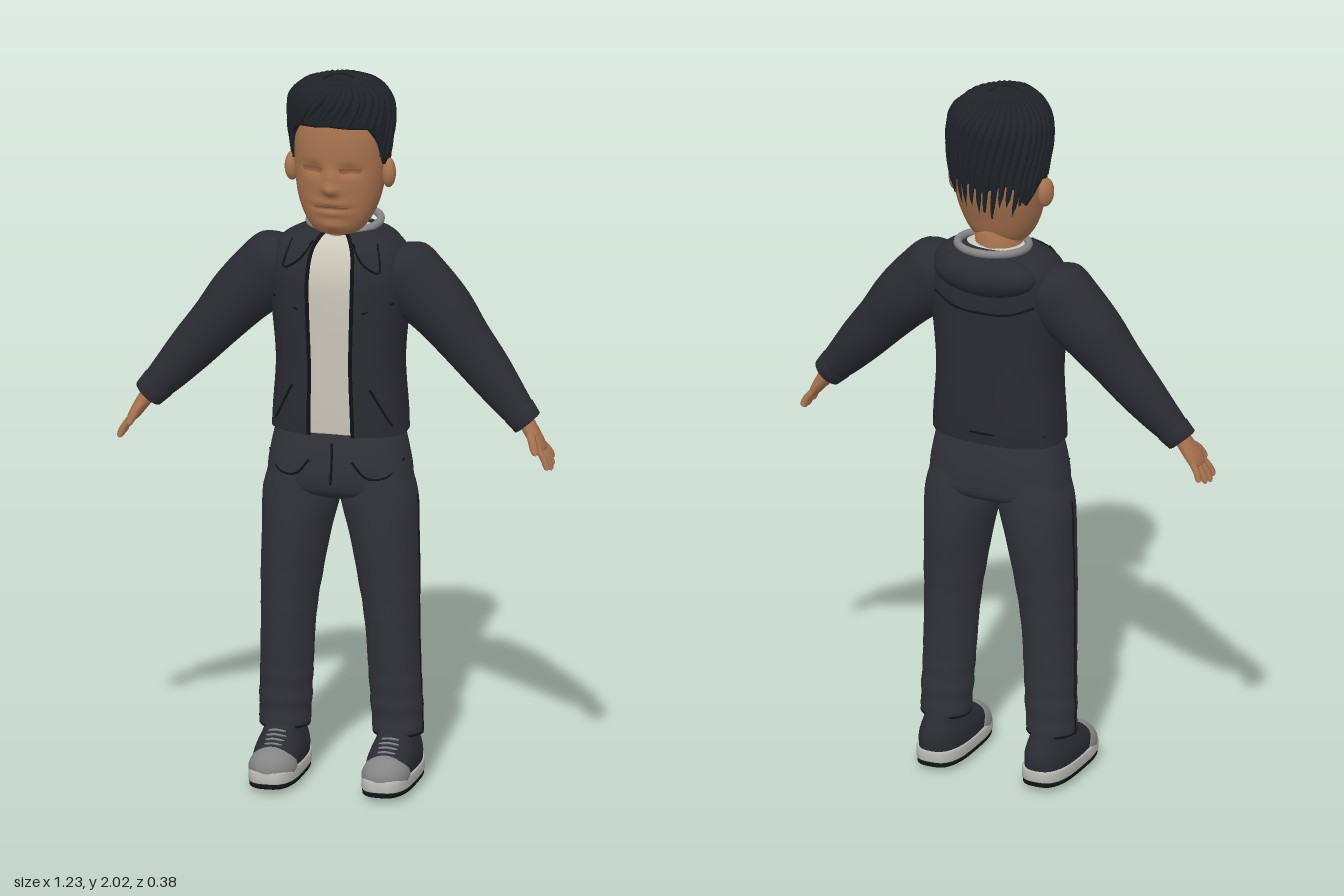
import * as THREE from 'three';

const mat = (name, color) => {
  const m = new THREE.MeshStandardMaterial({ color, side: THREE.DoubleSide });
  m.name = name;
  return m;
};
const X = new THREE.Vector3(1, 0, 0), Z = new THREE.Vector3(0, 0, 1);

// ring = [x, y, z, halfWidth, halfDepth]; upright rings come from width, front and back
const upright = (rows) => rows.map(([y, w, f, b]) => [0, y, (f + b) / 2, w, (f - b) / 2]);

// smooth the rings with a Catmull-Rom spline
function resample(rings, k = 5) {
  const out = [], n = rings.length;
  for (let i = 0; i < n - 1; i++) for (let s = 0; s < k; s++) {
    const t = s / k;
    out.push(rings[i].map((b, c) => {
      const a = rings[Math.max(i - 1, 0)][c], d = rings[i + 1][c], e = rings[Math.min(i + 2, n - 1)][c];
      return b + 0.5 * t * (d - a + t * (2 * a - 5 * b + 4 * d - e + t * (3 * (b - d) + e - a)));
    }));
  }
  out.push(rings[n - 1]);
  return out;
}

const spow = (v, p) => Math.sign(v) * Math.abs(v) ** (2 / p);
const ringPoint = (r, t, p = 2, U = X, V = Z) => new THREE.Vector3(r[0], r[1], r[2])
  .addScaledVector(U, Math.max(r[3], 0.001) * spow(Math.sin(t), p))
  .addScaledVector(V, Math.max(r[4], 0.001) * spow(Math.cos(t), p));

function ringAt(rings, y) {
  let i = 0;
  const up = rings[1][1] > rings[0][1];
  while (i < rings.length - 2 && (up ? rings[i + 1][1] < y : rings[i + 1][1] > y)) i++;
  const a = rings[i], b = rings[i + 1], t = THREE.MathUtils.clamp((y - a[1]) / (b[1] - a[1]), 0, 1);
  return a.map((v, c) => v + (b[c] - v) * t);
}

function geometry(points, index) {
  const g = new THREE.BufferGeometry().setFromPoints(points);
  g.setIndex(index);
  g.computeVertexNormals();
  return g;
}

// skin over rings; a gap leaves the front open by that angle on each side
function loft(rings, { U = X, V = Z, p = 2, n = 32, gap = 0, tweak } = {}) {
  const pts = [], idx = [], open = gap > 0, m = open ? n + 1 : n;
  const at = (r) => new THREE.Vector3(r[0], r[1], r[2]);
  const last = rings.length - 1;
  const flip = at(rings[last]).sub(at(rings[0])).dot(V.clone().cross(U)) < 0;
  const tri = (a, b, c) => flip ? idx.push(a, c, b) : idx.push(a, b, c);
  for (const r of rings) for (let j = 0; j < m; j++) {
    const pt = ringPoint(r, gap + (2 * Math.PI - 2 * gap) * j / n, p, U, V);
    if (tweak) tweak(pt);
    pts.push(pt);
  }
  for (let i = 0; i < last; i++) for (let j = 0; j < n; j++) {
    const a = i * m + j, b = i * m + (j + 1) % m;
    tri(a, b, a + m);
    tri(b, b + m, a + m);
  }
  if (!open) {
    const c = pts.push(at(rings[0]), at(rings[last])) - 2;
    for (let j = 0; j < n; j++) {
      const k = (j + 1) % n;
      tri(c, k, j);
      tri(c + 1, last * m + j, last * m + k);
    }
  }
  return geometry(pts, idx);
}

// tube whose radius follows a rule along its length
function tube(points, radius, taper = () => 1, seg = 16, sides = 7) {
  const curve = new THREE.CatmullRomCurve3(points);
  const g = new THREE.TubeGeometry(curve, seg, radius, sides), pos = g.attributes.position, v = new THREE.Vector3();
  for (let i = 0; i < pos.count; i++) {
    const u = Math.floor(i / (sides + 1)) / seg, c = curve.getPointAt(u);
    v.fromBufferAttribute(pos, i).sub(c).multiplyScalar(taper(u)).add(c);
    pos.setXYZ(i, v.x, v.y, v.z);
  }
  return g;
}
const tip = (u) => u < 0.75 ? 1 : Math.sqrt(Math.max(0, 1 - ((u - 0.75) / 0.25) ** 2));

// thin curved plate between four [x, y] corners laid on a surface
function plate([a, b, c, d], zAt, n = 10) {
  const pts = [], idx = [], mix = THREE.MathUtils.lerp;
  for (let i = 0; i <= n; i++) for (let j = 0; j <= n; j++) {
    const u = j / n, v = i / n, x = mix(mix(a[0], b[0], u), mix(d[0], c[0], u), v);
    const y = mix(mix(a[1], b[1], u), mix(d[1], c[1], u), v), k = i * (n + 1) + j;
    pts.push(new THREE.Vector3(x, y, zAt(x, y)));
    if (i < n && j < n) idx.push(k, k + n + 1, k + 1, k + 1, k + n + 1, k + n + 2);
  }
  return geometry(pts, idx);
}

export function createModel() {
  const model = new THREE.Group();
  const skin = mat('skin', 0xa8734f), shade = mat('shaded skin', 0x8d5d40), hairMat = mat('hair', 0x1f2429);
  const cloth = mat('jacket cloth', 0x2b2c33), denim = mat('trouser cloth', 0x32333a), seamMat = mat('seam', 0x121316);
  const white = mat('shirt', 0xcbc7ba), grey = mat('grey trim', 0x858585), rubber = mat('sole rubber', 0xb9b9b5);
  const add = (name, geo, m) => {
    const mesh = new THREE.Mesh(geo, m);
    mesh.name = name;
    model.add(mesh);
    return mesh;
  };
  const ball = (name, m, pos, scale) => {
    const b = add(name, new THREE.SphereGeometry(1, 28, 18), m);
    b.position.set(...pos);
    b.scale.set(...scale);
    return b;
  };
  const zOn = (rings, p, dir, off) => (x, y) => {
    const r = ringAt(rings, y), q = Math.min(Math.abs((x - r[0]) / r[3]), 0.999);
    return r[2] + dir * (r[4] * (1 - q ** p) ** (1 / p) + off);
  };
  const seam = (name, pts, zAt) => add(name, tube(pts.map(([x, y]) => new THREE.Vector3(x, y, zAt(x, y))), 0.0035, undefined, 20, 5), seamMat);

  // jacket, open at the front over a shirt
  const jacketRows = [[1.0, .19, .098, -.135], [1.06, .187, .102, -.142], [1.2, .178, .108, -.145], [1.35, .19, .113, -.148],
    [1.45, .195, .11, -.15], [1.52, .178, .085, -.145], [1.555, .13, .055, -.12], [1.572, .085, .035, -.1]];
  const jacket = resample(upright(jacketRows)), gap = 0.25;
  add('jacket', loft(jacket, { p: 2.5, n: 56, gap }), cloth);
  const inner = upright(jacketRows.map(([y, w, f, b]) => [y, w - .014, f - .009, b + .012]));
  add('shirt', loft(resample(inner), { p: 2.5, n: 48 }), white);
  const chest = zOn(jacket, 2.5, 1, 0.001), back = zOn(jacket, 2.5, -1, 0.001), flap = zOn(jacket, 2.5, 1, 0.008);
  seam('backYokeSeam', [[-.15, 1.43], [-.08, 1.405], [0, 1.4], [.08, 1.405], [.15, 1.43]], back);
  seam('backHemSeam', [[-.17, 1.035], [0, 1.035], [.17, 1.035]], back);

  // hood and neck ring
  ball('hood', cloth, [0, 1.505, -.113], [.15, .063, .073]);
  const ring = add('neckRing', new THREE.TorusGeometry(.098, .011, 12, 48), grey);
  ring.position.set(0, 1.577, -.065);
  ring.rotation.x = Math.PI / 2 + 0.08;
  add('neck', loft(upright([[1.48, .075, .04, -.1], [1.56, .066, .042, -.09], [1.64, .07, .04, -.095]])), skin);

  // head with a modelled face
  const head = resample(upright([[1.565, .035, .045, -.03], [1.575, .065, .068, -.06], [1.61, .092, .083, -.088], [1.66, .112, .09, -.108],
    [1.72, .123, .095, -.13], [1.78, .127, .098, -.143], [1.85, .126, .097, -.143], [1.92, .11, .08, -.12], [1.96, .06, .045, -.08]]), 8);
  const hump = (v, c, s) => Math.exp(-(((v - c) / s) ** 2));
  const bump = (x, y) => .024 * hump(x, 0, .02) * hump(y, 1.706, .017) + .013 * hump(x, 0, .016) * hump(y, 1.74, .028)
    - .011 * hump(Math.abs(x), .05, .032) * hump(y, 1.762, .017) - .005 * hump(y, 1.652, .006) * hump(x, 0, .05)
    + .007 * hump(x, 0, .045) * (hump(y, 1.666, .011) + hump(y, 1.638, .011)) + .007 * hump(x, 0, .035) * hump(y, 1.6, .015);
  add('head', loft(head, { p: 2.3, n: 80, tweak: (v) => { if (v.z > .02) v.z += bump(v.x, v.y); } }), skin);
  const face = zOn(head, 2.3, 1, 0.002), onFace = (x, y) => face(x, y) + bump(x, y);
  add('mouth', plate([[-.05, 1.656], [.05, 1.656], [.045, 1.648], [-.045, 1.648]], onFace, 16), shade);

  // hair shell with a shaped hairline, given as [degrees from the front, height]
  const hairRings = resample(upright([[1.66, .108, .05, -.105], [1.74, .133, .08, -.135], [1.82, .14, .099, -.152], [1.88, .145, .109, -.155],
    [1.94, .137, .112, -.148], [1.975, .107, .104, -.12], [1.99, .065, .082, -.075], [1.996, .004, .012, .004]]));
  const line = [[0, 1.89], [45, 1.88], [58, 1.84], [70, 1.765], [82, 1.765], [92, 1.79], [105, 1.765], [122, 1.71], [150, 1.675], [181, 1.668]];
  const hairline = (t) => {
    const d = Math.abs(THREE.MathUtils.radToDeg(Math.atan2(Math.sin(t), Math.cos(t))));
    const i = line.findIndex((l) => l[0] > d), [a, b] = [line[i - 1], line[i]];
    return a[1] + (b[1] - a[1]) * (d - a[0]) / (b[0] - a[0]);
  };
  const onHair = (t, y, s) => {
    const r = ringAt(hairRings, y);
    return ringPoint([r[0], r[1], r[2], r[3] * s, r[4] * s], t);
  };
  const cols = 96, rows = 22, hp = [], hi = [];
  for (let i = 0; i <= rows; i++) for (let j = 0; j < cols; j++) {
    const t = j / cols * 2 * Math.PI, yb = hairline(t), v = Math.max(0, i - 1) / (rows - 1);
    hp.push(onHair(t, yb + (1.996 - yb) * Math.sin(v * Math.PI / 2), i ? 1 : .86));
    const a = i * cols + j, b = i * cols + (j + 1) % cols;
    if (i < rows) hi.push(a, b, a + cols, b, b + cols, a + cols);
  }
  add('hair', geometry(hp, hi), hairMat);
  // combed locks over the shell
  for (let k = 0; k < 38; k++) {
    const t = k / 38 * 2 * Math.PI, yb = hairline(t) + .012 + .012 * Math.sin(k * 2.4), pts = [];
    for (let s = 0; s <= 8; s++) {
      const y = yb + (1.993 - yb) * Math.cos(s / 8 * Math.PI / 2);
      pts.push(onHair(t + .6 * (1 - s / 8), y, .975 + .012 * Math.sin(k * 1.7)));
    }
    add('hairLock', tube(pts, .0125, (u) => .35 + .65 * Math.sin(Math.PI * Math.min(1, .15 + u * .8)), 20), hairMat);
  }

  // hips
  const hips = resample(upright([[1.03, .172, .085, -.12], [.95, .191, .097, -.13], [.88, .202, .098, -.132], [.83, .195, .085, -.122], [.805, .1, .04, -.07]]));
  add('hips', loft(hips, { p: 2.4, n: 48 }), denim);
  const hipFront = zOn(hips, 2.4, 1, 0.001);
  seam('flySeam', [[.004, .98], [.004, .92], [0, .86]], hipFront);

  for (const s of [1, -1]) {
    const v3 = (x, y, z) => new THREE.Vector3(x * s, y, z);
    const flipX = (pts) => pts.map(([x, y]) => [x * s, y]);
    const mirror = (rs) => rs.map(([x, ...r]) => [x * s, ...r]);

    // jacket trim
    add('jacketZip', tube(jacket.map((r) => ringPoint(r, s * gap, 2.5)), .0055, undefined, 50, 6), seamMat);
    add('collarFlap', plate(flipX([[.055, 1.552], [.118, 1.55], [.135, 1.475], [.09, 1.5]]), flap), cloth);
    seam('collarSeam', flipX([[.057, 1.548], [.09, 1.5], [.135, 1.475], [.12, 1.545]]), flap);
    seam('chestPocketSeam', flipX([[.09, 1.36], [.17, 1.385]]), chest);
    seam('sidePocketSeam', flipX([[.11, 1.14], [.15, 1.06], [.165, 1.03]]), chest);
    seam('trouserPocketSeam', flipX([[.06, .93], [.1, .885], [.15, .885], [.19, .93]]), hipFront);

    // arm
    const U = v3(.75, .66, 0);
    add('sleeve', loft(resample(mirror([[.13, 1.5, -.03, .04, .05], [.165, 1.472, -.03, .088, .088], [.215, 1.415, -.03, .098, .09],
      [.29, 1.342, -.028, .088, .084], [.355, 1.265, -.02, .075, .071], [.42, 1.19, -.012, .066, .061],
      [.48, 1.12, 0, .054, .049], [.53, 1.065, .011, .042, .038]])), { U }), cloth);
    add('cuff', loft(mirror([[.508, 1.089, .006, .04, .036], [.51, 1.087, .006, .049, .045], [.537, 1.057, .012, .044, .04], [.539, 1.055, .012, .036, .032]]), { U }), cloth);

    // hand
    const along = (d, z, off = 0) => v3(.535 + .54 * d + .84 * off, 1.06 - .84 * d + .54 * off, z);
    const palm = [[-.01, .014, .026, .022], [.03, .02, .033, .02], [.07, .023, .037, .016], [.09, .024, .033, .011]];
    add('palm', loft(resample(palm.map(([d, z, a, b]) => [...along(d, z).toArray(), a, b])), { U: Z, V: v3(.84, .54, 0), n: 20 }), skin);
    for (let f = 0; f < 4; f++) {
      const z = -.004 + f * .0185, len = [.045, .06, .066, .058][f];
      add('finger', tube([along(.075, z), along(.08 + len / 2, z + (f - 1.4) * .005, .002), along(.083 + len, z + (f - 1.4) * .009, -.004)], .0098, tip), skin);
    }
    add('thumb', tube([along(.02, .03), along(.05, .06), along(.088, .08, -.006)], .0125, tip), skin);

    // face sides
    ball('ear', skin, [.136 * s, 1.735, -.016], [.02, .042, .028]).rotation.y = .25 * s;
    add('eyeShade', plate(flipX([[.022, 1.768], [.085, 1.768], [.08, 1.754], [.026, 1.754]]), onFace), shade);

    // leg
    const leg = resample(mirror([[.1, .92, -.016, .085, .1], [.108, .82, -.018, .108, .107], [.124, .7, -.018, .096, .106],
      [.137, .58, -.016, .086, .093], [.147, .45, -.016, .076, .084], [.153, .3, -.021, .073, .074], [.158, .19, -.026, .072, .069], [.16, .13, -.027, .069, .067]]), 8);
    leg.forEach((r) => {
      const w = 1 + .018 * Math.sin(r[1] * 95) * hump(r[1], .2, .14) + .01 * Math.sin(r[1] * 70) * hump(r[1], .52, .08);
      r[3] *= w;
      r[4] *= w;
    });
    add('trouserLeg', loft(leg), denim);
    add('trouserSideSeam', tube(leg.slice(8).map((r) => ringPoint(r, s * Math.PI / 2)), .003, undefined, 40, 5), seamMat);
    const hem = add('trouserHem', new THREE.TorusGeometry(.067, .004, 6, 32), seamMat);
    hem.position.set(.16 * s, .135, -.027);
    hem.rotation.x = Math.PI / 2;

    // shoe
    const slab = (rs) => rs.map(([y, w, f, b]) => [.16 * s, y, (f + b) / 2, w, (f - b) / 2]);
    add('outsole', loft(slab([[0, .064, .182, -.128], [.002, .067, .186, -.132], [.016, .068, .187, -.133]]), { p: 3, n: 40 }), seamMat);
    add('midsole', loft(slab([[.014, .068, .186, -.132], [.018, .07, .189, -.135], [.042, .07, .187, -.135], [.047, .066, .182, -.13]]), { p: 3, n: 40 }), rubber);
    add('shoeUpper', loft(resample(slab([[.044, .066, .17, -.13], [.075, .066, .15, -.13], [.1, .06, .115, -.122], [.122, .052, .08, -.11], [.145, .046, .05, -.1]])), { p: 2.6, n: 36 }), cloth);
    ball('toeCap', grey, [.16 * s, .044, .105], [.067, .058, .08]);
    for (let k = 0; k < 4; k++) {
      const y = .108 + k * .009, z = .108 - k * .014;
      add('lace', tube([v3(.128, y - .008, z - .012), v3(.16, y + .002, z + .002), v3(.192, y - .008, z - .012)], .0035, undefined, 10, 5), grey);
    }
  }
  return model;
}
